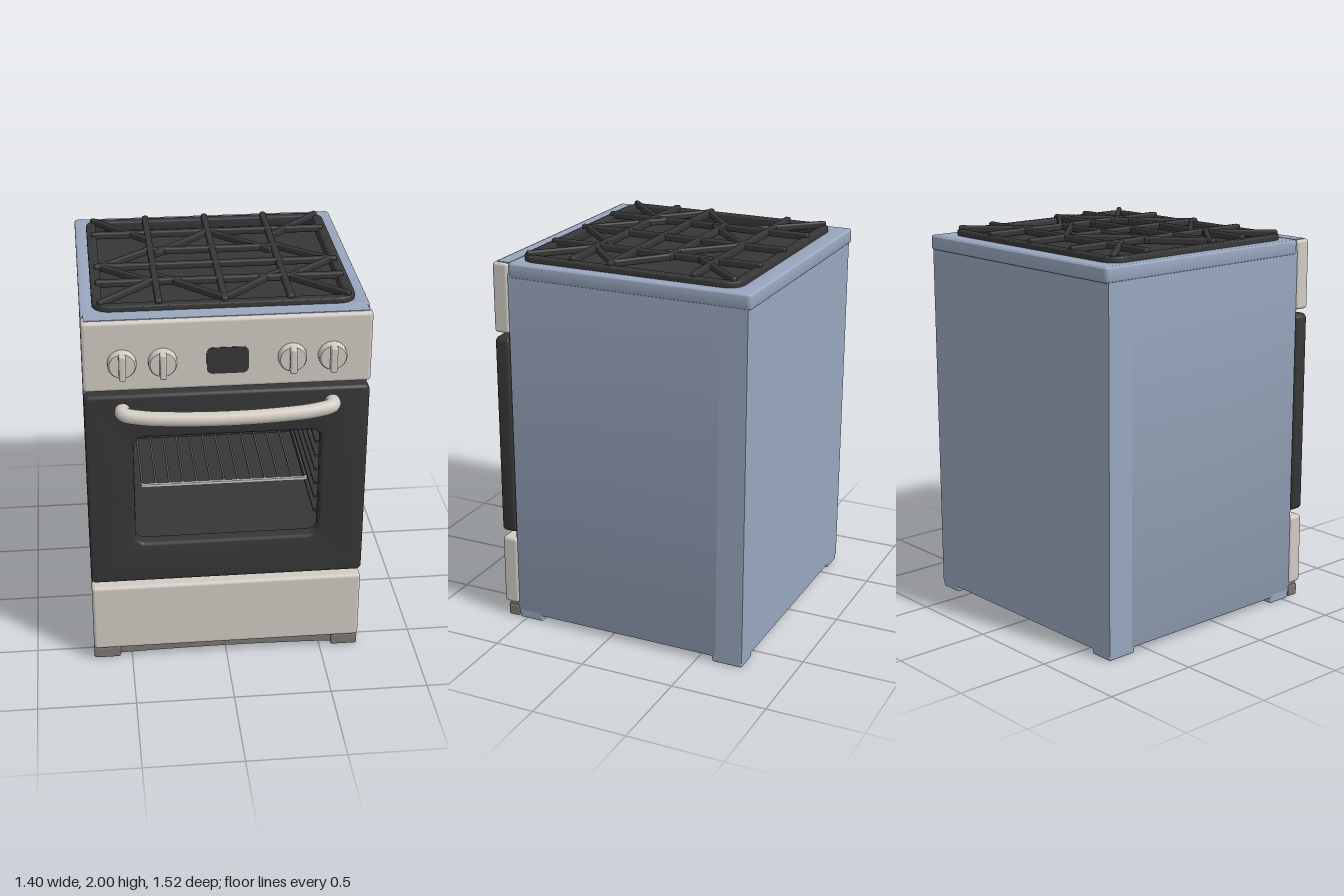
import * as THREE from 'three';
import { toCreasedNormals } from 'three/addons/utils/BufferGeometryUtils.js';
import { RoundedBoxGeometry } from 'three/addons/geometries/RoundedBoxGeometry.js';

const mat = (name, color) => {
  const m = new THREE.MeshStandardMaterial({ color });
  m.name = name;
  return m;
};

// Rounded rectangle outline given by its edges
function roundRect(Type, x0, y0, x1, y1, r) {
  const s = new Type();
  s.moveTo(x0 + r, y0);
  s.lineTo(x1 - r, y0);
  s.absarc(x1 - r, y0 + r, r, -Math.PI / 2, 0);
  s.lineTo(x1, y1 - r);
  s.absarc(x1 - r, y1 - r, r, 0, Math.PI / 2);
  s.lineTo(x0 + r, y1);
  s.absarc(x0 + r, y1 - r, r, Math.PI / 2, Math.PI);
  s.lineTo(x0, y0 + r);
  s.absarc(x0 + r, y0 + r, r, Math.PI, Math.PI * 1.5);
  return s;
}

function extrude(shape, depth, bevel = 0) {
  const g = new THREE.ExtrudeGeometry(shape, {
    depth: depth - 2 * bevel, bevelEnabled: bevel > 0, bevelSize: bevel,
    bevelThickness: bevel, bevelSegments: 3, curveSegments: 8,
  });
  g.translate(0, 0, bevel);
  return toCreasedNormals(g, 0.6);
}

export function createModel() {
  const enamel = mat('blue enamel', 0x98a6bd);
  const cream = mat('cream panel', 0xd0cac2);
  const dark = mat('dark glass and iron', 0x363636);
  const wire = mat('grey wire', 0x565656);
  const shade = mat('grey plinth', 0x7b7873);
  const model = new THREE.Group();
  model.name = 'cooker';

  const add = (name, geometry, material, parent = model) => {
    const m = new THREE.Mesh(geometry, material);
    m.name = name;
    parent.add(m);
    return m;
  };
  const group = (name) => {
    const g = new THREE.Group();
    g.name = name;
    model.add(g);
    return g;
  };
  // Box given by its edges, with optional rounding
  const block = (name, x0, x1, y0, y1, z0, z1, material, r = 0, parent = model) => {
    const size = [x1 - x0, y1 - y0, z1 - z0];
    const g = r ? new RoundedBoxGeometry(...size, 3, r) : new THREE.BoxGeometry(...size);
    const m = add(name, g, material, parent);
    m.position.set((x0 + x1) / 2, (y0 + y1) / 2, (z0 + z1) / 2);
    return m;
  };

  // Cabinet shell with the oven opening through to the back plate
  const shell = roundRect(THREE.Shape, -0.697, 0.03, 0.697, 1.9, 0.01);
  shell.holes.push(roundRect(THREE.Path, -0.53, 0.65, 0.53, 1.39, 0.02));
  add('cabinet', extrude(shell, 1.14), enamel).position.z = -0.6;
  block('backPanel', -0.697, 0.697, 0.03, 1.9, -0.745, -0.598, enamel);

  // Feet
  for (const s of [-1, 1]) {
    for (const [z0, z1] of [[-0.745, -0.58], [0.4, 0.54]]) {
      block('foot', s * 0.63 - 0.067, s * 0.63 + 0.067, 0, 0.06, z0, z1, enamel, 0.012);
    }
    block('frontFoot', s * 0.63 - 0.07, s * 0.63 + 0.07, 0.005, 0.07, 0.54, 0.605, shade, 0.01);
  }

  // Plinth with a slightly arched lower edge
  const plinth = new THREE.Shape();
  plinth.moveTo(-0.695, 0.02);
  plinth.quadraticCurveTo(0, 0.05, 0.695, 0.02);
  plinth.lineTo(0.695, 0.09);
  plinth.lineTo(-0.695, 0.09);
  add('plinth', extrude(plinth, 0.055), shade).position.z = 0.54;

  // Top rim around the hob well
  const rim = roundRect(THREE.Shape, -0.69, -0.53, 0.69, 0.75, 0.012);
  rim.holes.push(roundRect(THREE.Path, -0.64, -0.51, 0.64, 0.67, 0.085));
  const rimMesh = add('topRim', extrude(rim, 0.075, 0.01), enamel);
  rimMesh.rotation.x = -Math.PI / 2;
  rimMesh.position.y = 1.877;

  // Hob tray: floor and raised lip
  const lip = roundRect(THREE.Shape, -0.632, -0.502, 0.632, 0.662, 0.08);
  const floor = add('hobTray', extrude(lip, 0.03), dark);
  lip.holes.push(roundRect(THREE.Path, -0.598, -0.468, 0.598, 0.628, 0.03));
  const lipMesh = add('hobLip', extrude(lip, 0.065, 0.008), dark);
  floor.rotation.x = lipMesh.rotation.x = -Math.PI / 2;
  floor.position.y = 1.9;
  lipMesh.position.y = 1.915;

  // Pan supports: straight bars, then diagonals mirrored left and right
  const grate = group('panSupports');
  const bar = (x0, z0, x1, z1, w = 0.034) => {
    const length = Math.hypot(x1 - x0, z1 - z0);
    const m = add('supportBar', new RoundedBoxGeometry(length + w, 0.036, w, 2, 0.01), dark, grate);
    m.position.set((x0 + x1) / 2, 1.982, (z0 + z1) / 2);
    m.rotation.y = -Math.atan2(z1 - z0, x1 - x0);
  };
  for (const z of [-0.425, 0.02, 0.225]) bar(-0.6, z, 0.6, z);
  bar(-0.34, -0.18, 0.34, -0.18);
  for (const x of [-0.32, 0, 0.32]) bar(x, -0.64, x, 0.475);
  const diagonals = [
    [0.6, -0.63, 0.34, -0.35], [0, -0.425, 0.29, -0.14],
    [0.34, -0.18, 0.57, 0.01], [0.57, 0.03, 0.35, 0.225],
    [0.6, 0.47, 0.36, 0.24], [0, 0.46, 0.22, 0.24], [0.2, 0.25, 0.31, 0.16],
  ];
  for (const s of [-1, 1]) {
    for (const [a, b, c, d] of diagonals) bar(s * a, b, s * c, d, 0.028);
  }

  // Control panel with an enamel strip along its top
  block('controlPanel', -0.7, 0.7, 1.585, 1.95, 0.54, 0.628, cream, 0.018);
  block('panelTopStrip', -0.685, 0.685, 1.946, 1.953, 0.535, 0.605, enamel);
  const display = extrude(roundRect(THREE.Shape, -0.103, 1.662, 0.1, 1.8, 0.03), 0.006);
  add('display', display, dark).position.z = 0.625;

  // Knobs: round base with an upright grip
  for (const x of [-0.51, -0.315, 0.31, 0.505]) {
    const knob = group('knob');
    knob.position.set(x, 1.738, 0.625);
    const profile = [[0, 0], [0.07, 0], [0.069, 0.03], [0.062, 0.043], [0, 0.045]];
    const g = new THREE.LatheGeometry(profile.map(([a, b]) => new THREE.Vector2(a, b)), 32);
    add('knobBase', toCreasedNormals(g, 0.6), cream, knob).rotation.x = Math.PI / 2;
    block('knobGrip', -0.017, 0.017, -0.066, 0.066, 0.02, 0.076, cream, 0.01, knob);
  }

  // Oven door with rounded window opening, on a dark backing frame
  const backing = roundRect(THREE.Shape, -0.685, 0.08, 0.685, 1.9, 0.01);
  backing.holes.push(roundRect(THREE.Path, -0.5, 0.68, 0.5, 1.36, 0.04));
  add('doorSeal', extrude(backing, 0.012), dark).position.z = 0.538;
  const door = roundRect(THREE.Shape, -0.684, 0.506, 0.684, 1.544, 0.012);
  door.holes.push(roundRect(THREE.Path, -0.482, 0.7, 0.482, 1.342, 0.07));
  add('ovenDoor', extrude(door, 0.08, 0.016), dark).position.z = 0.547;

  // Door handle
  const path = new THREE.CatmullRomCurve3([
    [-0.51, 1.485, 0.6], [-0.512, 1.482, 0.665], [-0.42, 1.473, 0.695], [-0.22, 1.468, 0.717],
    [0, 1.466, 0.724],
    [0.22, 1.468, 0.717], [0.42, 1.473, 0.695], [0.512, 1.482, 0.665], [0.51, 1.485, 0.6],
  ].map((p) => new THREE.Vector3(...p)));
  add('doorHandle', new THREE.TubeGeometry(path, 64, 0.037, 14), cream);

  // Storage drawer
  block('drawer', -0.7, 0.7, 0.078, 0.458, 0.54, 0.628, cream, 0.018);

  // Oven cavity walls
  const oven = group('ovenCavity');
  block('ovenBack', -0.53, 0.53, 0.65, 1.39, -0.59, -0.56, dark, 0, oven);
  block('ovenFloor', -0.53, 0.53, 0.65, 0.68, -0.57, 0.54, dark, 0, oven);
  block('ovenRoof', -0.53, 0.53, 1.36, 1.39, -0.57, 0.54, dark, 0, oven);
  for (const s of [-1, 1]) {
    block('ovenSide', s * 0.515 - 0.015, s * 0.515 + 0.015, 0.65, 1.39, -0.57, 0.54, dark, 0, oven);
    // Shelf runners
    for (let i = 0; i < 7; i++) {
      const y = 0.79 + i * 0.08;
      block('shelfRunner', s * 0.48 - 0.022, s * 0.48 + 0.022, y - 0.006, y + 0.006, -0.52, 0.5, dark, 0, oven);
    }
  }

  // Wire shelf
  const shelf = group('ovenShelf');
  block('shelfFront', -0.425, 0.425, 0.963, 0.978, 0.47, 0.485, cream, 0, shelf);
  block('shelfBack', -0.46, 0.46, 0.963, 0.978, -0.5, -0.485, wire, 0, shelf);
  for (let i = 0; i < 13; i++) {
    const x = -0.42 + i * 0.07;
    block('shelfWire', x - 0.005, x + 0.005, 0.965, 0.975, -0.49, 0.47, wire, 0, shelf);
  }
  return model;
}
